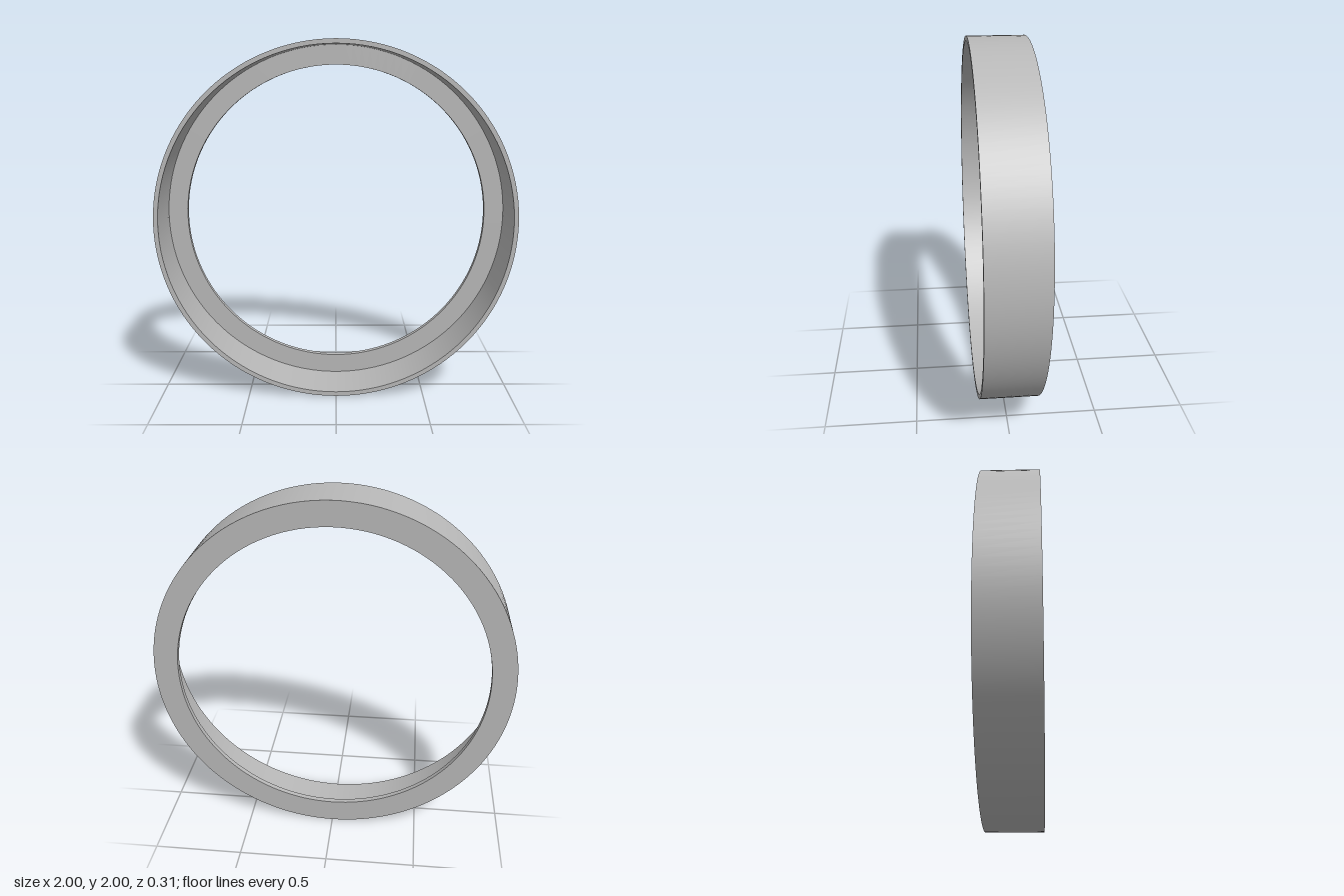
import * as THREE from 'three';

export function createModel() {
  const group = new THREE.Group();
  group.name = 'ring';
  const grey = new THREE.MeshStandardMaterial({ color: 0xb8b8b8 });
  grey.name = 'plain grey';

  const outer = 1, wall = 0.975, hole = 0.865, half = 0.157, flange = 0.03;

  // L-shaped section (radius, depth), counter-clockwise so faces point outward
  const section = [
    ['outerWall', outer, -half],
    ['frontRim', outer, half],
    ['innerWall', wall, half],
    ['flangeFront', wall, -half + flange],
    ['flangeEdge', hole, -half + flange],
    ['flangeBack', hole, -half],
  ];

  // One lathe per section edge keeps every corner sharp
  section.forEach(([name, r, z], i) => {
    const [, r2, z2] = section[(i + 1) % section.length];
    const geometry = new THREE.LatheGeometry(
      [new THREE.Vector2(r, z), new THREE.Vector2(r2, z2)], 128);
    geometry.rotateX(Math.PI / 2);
    const mesh = new THREE.Mesh(geometry, grey);
    mesh.name = name;
    mesh.position.y = outer;
    group.add(mesh);
  });
  return group;
}
